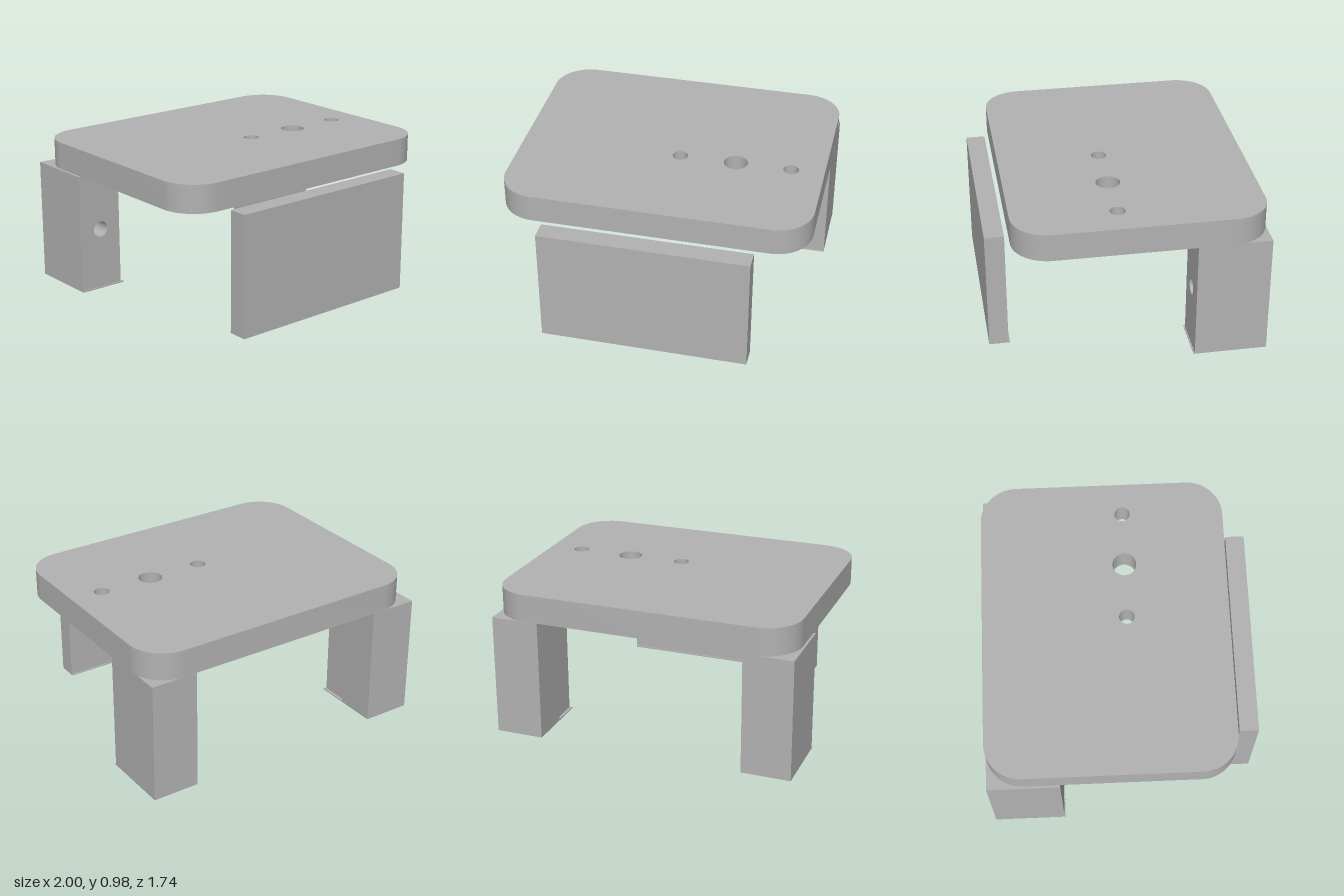
import * as THREE from 'three';
import { toCreasedNormals } from 'three/addons/utils/BufferGeometryUtils.js';

export function createModel() {
  const model = new THREE.Group();
  model.name = 'bracketStand';
  const grey = new THREE.MeshStandardMaterial({ color: 0xb2b2b2 });
  grey.name = 'grey';

  const add = (name, geometry, parent = model) => {
    const mesh = new THREE.Mesh(geometry, grey);
    mesh.name = name;
    parent.add(mesh);
    return mesh;
  };
  // Box given by its limits on each axis
  const block = (x0, x1, y0, y1, z0, z1) =>
    new THREE.BoxGeometry(x1 - x0, y1 - y0, z1 - z0)
      .translate((x0 + x1) / 2, (y0 + y1) / 2, (z0 + z1) / 2);
  const drill = (shape, x, y, r) =>
    shape.holes.push(new THREE.Path().absarc(x, y, r, 0, Math.PI * 2, true));
  const extrude = (shape, depth) => toCreasedNormals(
    new THREE.ExtrudeGeometry(shape, { depth, bevelEnabled: false, curveSegments: 24 }), 0.6);

  // Rounded top plate with a row of three through holes (shape y becomes -z)
  const x0 = -0.985, x1 = 1, y0 = -0.72, y1 = 0.87, r = 0.235;
  const outline = new THREE.Shape();
  outline.absarc(x1 - r, y1 - r, r, 0, Math.PI / 2);
  outline.absarc(x0 + r, y1 - r, r, Math.PI / 2, Math.PI);
  outline.absarc(x0 + r, y0 + r, r, Math.PI, Math.PI * 1.5);
  outline.absarc(x1 - r, y0 + r, r, Math.PI * 1.5, Math.PI * 2);
  outline.closePath();
  for (const [x, radius] of [[0.06, 0.05], [0.425, 0.077], [0.785, 0.05]]) {
    drill(outline, x, -0.06, radius);
  }
  add('topPlate', extrude(outline, 0.18).rotateX(-Math.PI / 2).translate(0, 0.796, 0));

  // Back legs: solid rear, slightly narrower drilled front, thin foot lip
  const height = 0.795;
  for (const [side, name] of [[1, 'leftLeg'], [-1, 'rightLeg']]) {
    const leg = new THREE.Group();
    leg.name = name;
    model.add(leg);
    const outer = side > 0 ? 0.99 : -1;
    const inner = side * 0.678, step = side * 0.696;
    const span = (a, b) => [Math.min(a, b), Math.max(a, b)];

    add('legRear', block(...span(inner, outer), 0, height, -0.87, -0.6), leg);

    const [a, b] = span(step, outer);
    const face = new THREE.Shape([
      new THREE.Vector2(a, 0), new THREE.Vector2(b, 0),
      new THREE.Vector2(b, height), new THREE.Vector2(a, height),
    ]);
    drill(face, side > 0 ? 0.832 : -0.845, 0.41, 0.052);
    add('legFront', extrude(face, 0.195).translate(0, 0, -0.6), leg);

    add('footLip', block(...span(inner, outer), 0, 0.008, -0.6, -0.398), leg);
  }

  // Upright front panel with a thin lip along its lower back edge
  add('frontPanel', block(-0.68, 0.675, 0, height, 0.746, 0.87));
  add('panelLip', block(-0.68, 0.675, 0, 0.008, 0.737, 0.746));

  return model;
}
